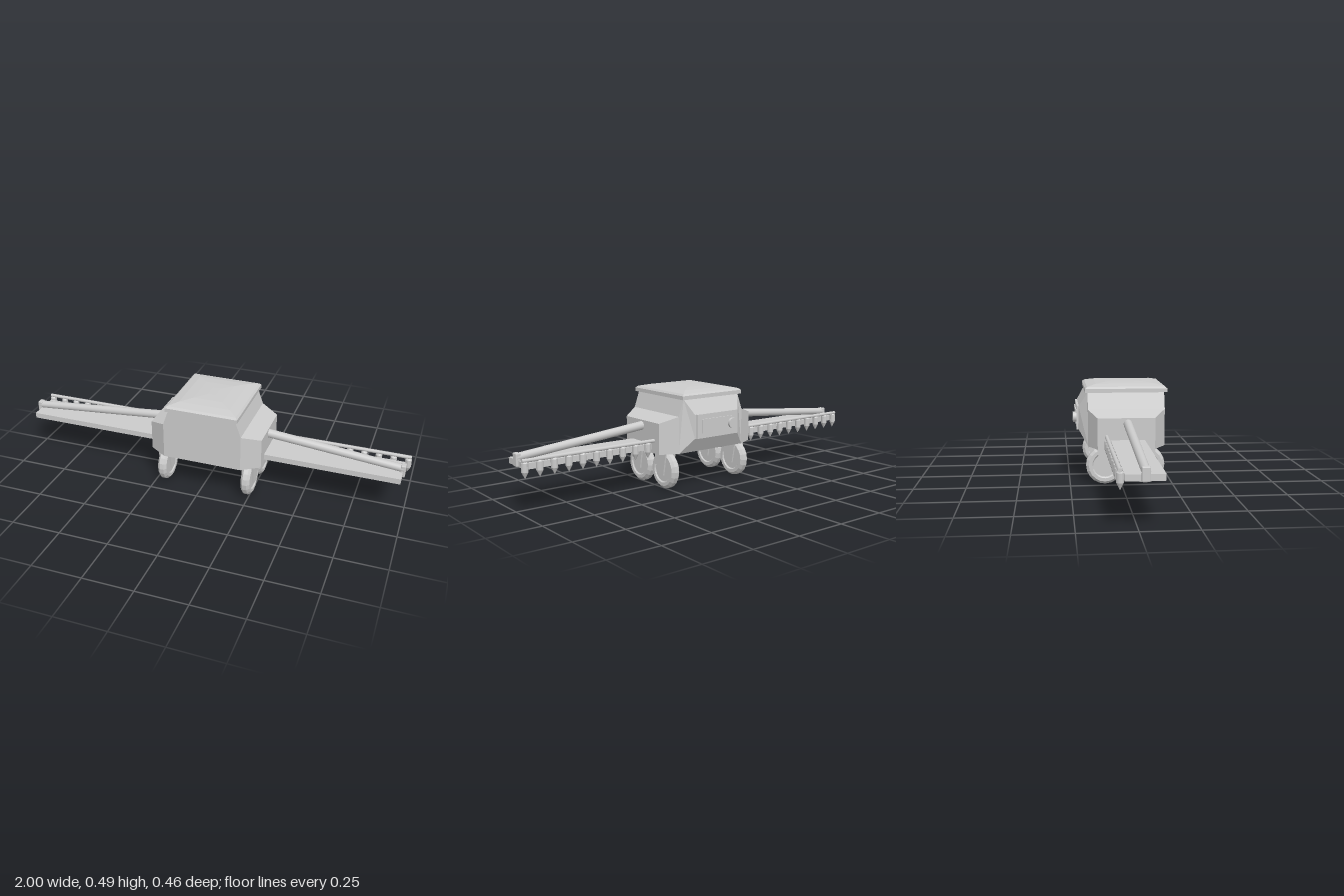
import * as THREE from 'three';
import { RoundedBoxGeometry } from 'three/addons/geometries/RoundedBoxGeometry.js';

const flat = new THREE.MeshStandardMaterial({ color: 0xcccccc, flatShading: true });
const smooth = new THREE.MeshStandardMaterial({ color: 0xcccccc });
const CX = 0.018; // middle of the body in x

// Skin a row of four-cornered rings (counter-clockwise seen from the last ring) and cap both ends
function loft(rings) {
  const pos = [];
  const quad = (a, b, c, d) => [a, b, c, a, c, d].forEach((p) => pos.push(...p));
  for (let i = 0; i + 1 < rings.length; i++) {
    const [p, q] = [rings[i], rings[i + 1]];
    for (let k = 0; k < 4; k++) quad(p[k], p[(k + 1) % 4], q[(k + 1) % 4], q[k]);
  }
  quad(...[...rings[0]].reverse());
  quad(...rings[rings.length - 1]);
  const g = new THREE.BufferGeometry();
  g.setAttribute('position', new THREE.Float32BufferAttribute(pos, 3));
  g.computeVertexNormals();
  return g;
}

// Horizontal rectangle at height y
const level = (y, hx, zBack, zFront, x = 0) => [
  [x - hx, y, zFront], [x + hx, y, zFront], [x + hx, y, zBack], [x - hx, y, zBack]];

function add(parent, name, geometry, x = 0, y = 0, z = 0, material = flat) {
  const mesh = new THREE.Mesh(geometry, material);
  mesh.name = name;
  mesh.position.set(x, y, z);
  parent.add(mesh);
  return mesh;
}

function buildBody() {
  const body = new THREE.Group();
  body.name = 'body';
  body.position.x = CX;

  // Tank with a tapered top
  add(body, 'tank', loft([
    level(0.182, 0.2, -0.16, 0.218), level(0.364, 0.2, -0.16, 0.218), level(0.445, 0.171, -0.16, 0.218)]));

  // Chamfered side pods
  for (const s of [1, -1]) {
    const ring = (x, y1, zBack, zFront) => {
      const r = [[s * x, 0.182, zFront], [s * x, 0.182, zBack], [s * x, y1, zBack], [s * x, y1, zFront]];
      return s > 0 ? r : r.reverse();
    };
    add(body, 'sidePod', loft([ring(0.2, 0.364, -0.16, 0.218), ring(0.288, 0.334, -0.118, 0.16)]));
  }

  // Tapered rear housing with its panel and knob
  add(body, 'rearHousing', loft([
    [[0.2, 0.182, -0.16], [-0.2, 0.182, -0.16], [-0.171, 0.445, -0.16], [0.171, 0.445, -0.16]],
    [[0.135, 0.255, -0.203], [-0.135, 0.255, -0.203], [-0.135, 0.372, -0.203], [0.135, 0.372, -0.203]]]));
  add(body, 'rearPanel', new THREE.BoxGeometry(0.254, 0.118, 0.012), 0, 0.314, -0.207);
  add(body, 'rearPanelInset', new THREE.BoxGeometry(0.2, 0.07, 0.006), 0, 0.314, -0.215);
  add(body, 'rearKnob', new THREE.CylinderGeometry(0.026, 0.026, 0.018, 20), -0.086, 0.312, -0.222, smooth)
    .rotation.x = Math.PI / 2;

  // Domed lid: each step is [height, inset]
  const steps = [[0.444, 0], [0.463, 0], [0.472, 0.01], [0.482, 0.055], [0.487, 0.11], [0.489, 0.165]];
  add(body, 'lid', loft(steps.map(([y, i]) => level(y, 0.184 - i, -0.173 + i, 0.232 - i))));
  return body;
}

function buildWheel(x, z) {
  const wheel = new THREE.Group();
  wheel.name = 'wheel';
  wheel.position.set(x, 0, z);
  // Tyre with bevelled shoulders and shallow dished sides
  const profile = [[0, -0.017], [0.058, -0.017], [0.064, -0.023], [0.08, -0.023], [0.093, -0.011],
    [0.093, 0.011], [0.08, 0.023], [0.064, 0.023], [0.058, 0.017], [0, 0.017]];
  const tyre = new THREE.LatheGeometry(profile.map(([r, h]) => new THREE.Vector2(r, h)), 20);
  add(wheel, 'tyre', tyre, 0, 0.094, 0).rotation.z = Math.PI / 2;
  // Tapered fork blades and the axle between them
  for (const s of [1, -1])
    add(wheel, 'forkBlade', loft([
      level(0.07, 0.004, -0.02, 0.026, s * 0.027), level(0.19, 0.004, -0.043, 0.05, s * 0.027)]));
  add(wheel, 'axle', new THREE.CylinderGeometry(0.012, 0.012, 0.056, 12), 0, 0.094, 0).rotation.z = Math.PI / 2;
  return wheel;
}

function buildBoom() {
  const boom = new THREE.Group();
  boom.name = 'sprayBoom';
  // Long flat tray and the feed pipe behind it, both running through the body
  add(boom, 'tray', new THREE.BoxGeometry(1.952, 0.028, 0.165), -0.003, 0.213, 0.027);
  add(boom, 'feedPipe', new THREE.CylinderGeometry(0.009, 0.009, 1.984, 12), 0.006, 0.245, -0.075, smooth)
    .rotation.z = Math.PI / 2;

  const up = new THREE.Vector3(0, 1, 0);
  const nozzle = new THREE.LatheGeometry([[0, 0.163], [0.016, 0.194], [0.016, 0.194], [0.016, 0.234],
    [0.011, 0.24], [0, 0.24]].map(([r, y]) => new THREE.Vector2(r, y)), 12);
  for (const s of [1, -1]) {
    // Sloping support arm and the post at its tip
    const from = new THREE.Vector3(CX + s * 0.25, 0.309, 0.028);
    const to = new THREE.Vector3(-0.008 + s * 0.985, 0.24, 0.028);
    const dir = to.clone().sub(from);
    const mid = from.clone().add(to).multiplyScalar(0.5);
    add(boom, 'supportArm', new THREE.CylinderGeometry(0.019, 0.022, dir.length(), 16), mid.x, mid.y, mid.z, smooth)
      .quaternion.setFromUnitVectors(up, dir.normalize());
    add(boom, 'tipPost', new RoundedBoxGeometry(0.024, 0.062, 0.036, 2, 0.005), -0.008 + s * 0.98, 0.23, 0.028, smooth);
    // Pointed spray nozzles
    for (let i = 0; i < 10; i++) add(boom, 'nozzle', nozzle, 0.006 + s * (0.335 + 0.0715 * i), 0, -0.073);
  }
  return boom;
}

export function createModel() {
  const model = new THREE.Group();
  model.name = 'sprayerRobot';
  model.add(buildBody(), buildBoom());
  for (const s of [1, -1]) for (const z of [0.121, -0.079]) model.add(buildWheel(CX + s * 0.221, z));
  return model;
}
